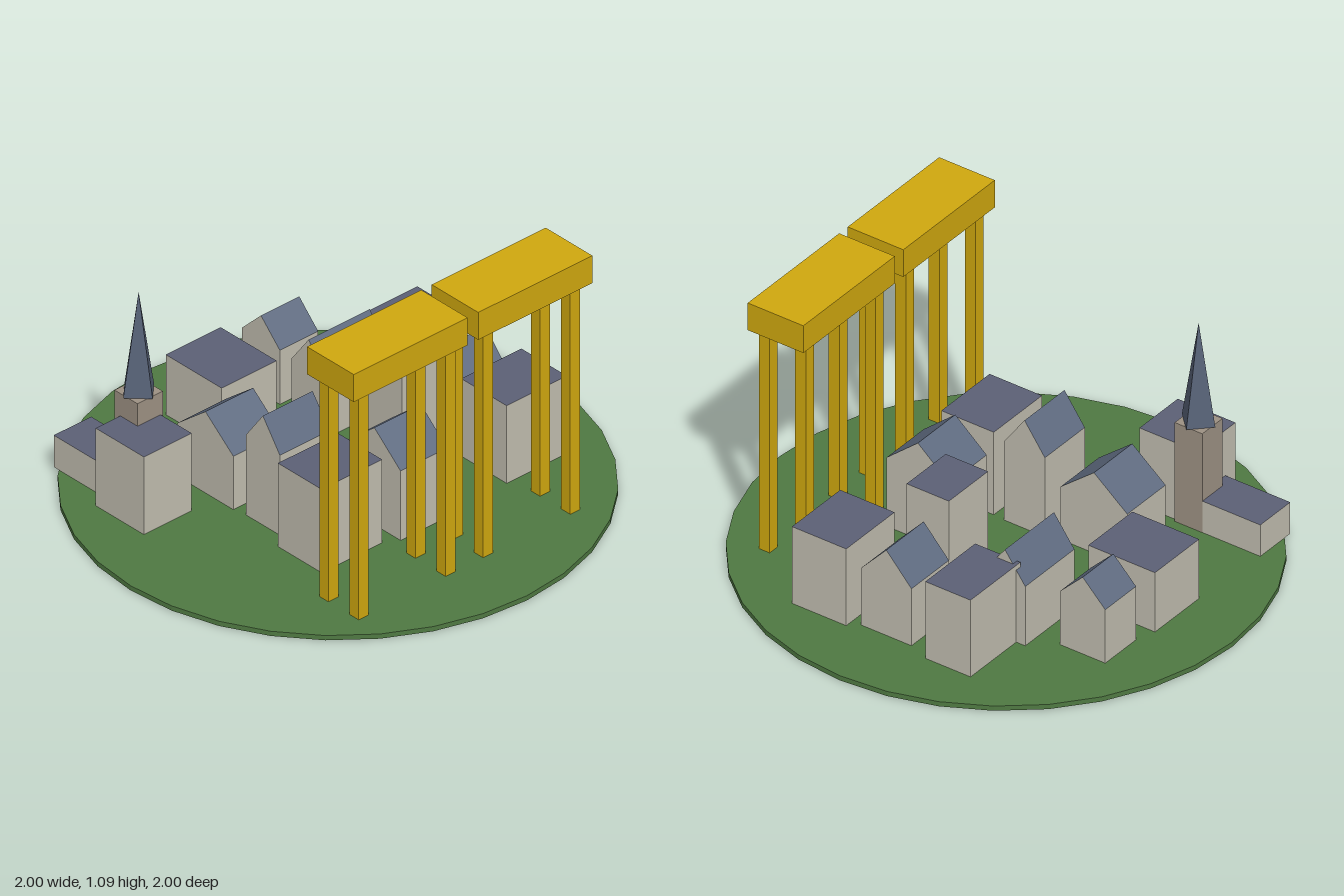
import * as THREE from 'three';

const mat = (name, color) => {
  const m = new THREE.MeshStandardMaterial({ color });
  m.name = name;
  return m;
};

export function createModel() {
  const grass = mat('grass', 0x4f7942);
  const wall = mat('wall', 0xc2beb0);
  const flatSlate = mat('flatSlate', 0x5c6076);
  const slate = mat('slate', 0x5f6b80);
  const spireSlate = mat('spireSlate', 0x566176);
  const stone = mat('stone', 0x9e9284);
  const gold = mat('gold', 0xd0a80f);

  const town = new THREE.Group();
  town.name = 'town';
  const ground = 0.02;

  const add = (parent, name, geometry, material, x, y, z) => {
    const flat = geometry.toNonIndexed();
    flat.computeVertexNormals();
    const mesh = new THREE.Mesh(flat, material);
    mesh.name = name;
    mesh.position.set(x, y, z);
    parent.add(mesh);
    return mesh;
  };

  // Round ground plate
  add(town, 'groundPlate', new THREE.CylinderGeometry(1, 1, ground, 32), grass, 0, ground / 2, 0);

  // House from its plan; a ridge height above the eave gives a gable along x
  const addHouse = (name, x0, x1, z0, z1, eave, ridge = eave) => {
    const h = eave - ground;
    const g = new THREE.BoxGeometry(x1 - x0, h, z1 - z0, 1, 1, 2);
    const p = g.attributes.position;
    for (let i = 0; i < p.count; i++) {
      if (p.getY(i) > 0 && Math.abs(p.getZ(i)) < 1e-4) p.setY(i, h / 2 + ridge - eave);
    }
    const roof = ridge > eave ? slate : flatSlate;
    add(town, name, g, [wall, wall, roof, wall, wall, wall], (x0 + x1) / 2, ground + h / 2, (z0 + z1) / 2);
  };

  // Flat-roofed houses: x0, x1, z0, z1, height
  [
    [-0.74, -0.51, -0.47, -0.215, 0.35],
    [-0.155, 0.11, -0.74, -0.445, 0.275],
    [0.43, 0.73, -0.38, -0.18, 0.35],
    [0.2, 0.435, -0.067, 0.12, 0.49],
    [-0.44, -0.15, 0.165, 0.397, 0.375],
    [0.44, 0.73, 0.17, 0.41, 0.35],
  ].forEach((h) => addHouse('flatHouse', ...h));

  // Gabled houses: x0, x1, z0, z1, eave, ridge
  [
    [0.19, 0.375, -0.715, -0.515, 0.25, 0.35],
    [0.16, 0.455, -0.42, -0.24, 0.275, 0.398],
    [-0.395, -0.165, -0.415, -0.12, 0.247, 0.366],
    [-0.385, -0.145, -0.065, 0.115, 0.36, 0.485],
    [0.47, 0.695, -0.093, 0.13, 0.265, 0.387],
    [-0.09, 0.135, 0.152, 0.43, 0.315, 0.433],
  ].forEach((h) => addHouse('gabledHouse', ...h));

  // Church: low nave, square tower, four-sided spire
  addHouse('nave', -0.68, -0.5, -0.757, -0.4, 0.155);
  add(town, 'churchTower', new THREE.BoxGeometry(0.122, 0.425, 0.122), stone, -0.56, 0.2325, -0.44);
  add(town, 'spire', new THREE.ConeGeometry(0.074, 0.42, 4), spireSlate, -0.56, 0.655, -0.44);

  // Two tall gantries, each a deep beam on four legs
  for (const x of [-0.316, 0.285]) {
    const gantry = new THREE.Group();
    gantry.name = 'gantry';
    gantry.position.set(x, 0, 0.608);
    add(gantry, 'gantryBeam', new THREE.BoxGeometry(0.55, 0.117, 0.246), gold, 0, 1.0325, 0);
    for (const sx of [-1, 1]) {
      for (const sz of [-1, 1]) {
        add(gantry, 'gantryLeg', new THREE.BoxGeometry(0.048, 0.954, 0.048), gold, sx * 0.21, 0.497, sz * 0.08);
      }
    }
    town.add(gantry);
  }
  return town;
}
